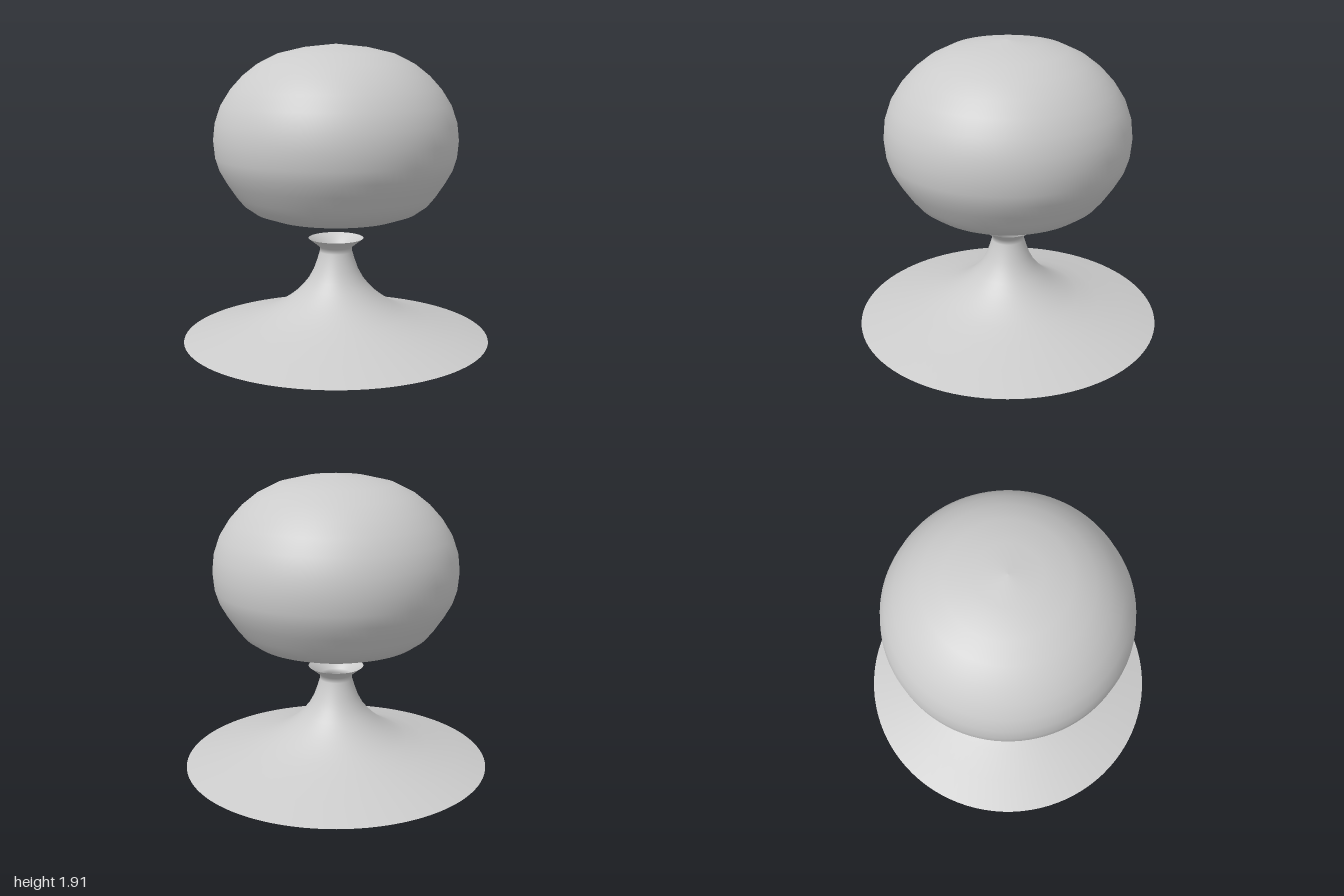
import * as THREE from 'three';

// Open shell turned around the y axis from [radius, height] points, bottom to top
function turned(name, profile) {
  const points = profile.map(([r, y]) => new THREE.Vector2(r, y));
  const material = new THREE.MeshStandardMaterial({ color: 0xcccccc, side: THREE.DoubleSide });
  const mesh = new THREE.Mesh(new THREE.LatheGeometry(points, 96), material);
  mesh.name = name;
  return mesh;
}

export function createModel() {
  const group = new THREE.Group();
  group.name = 'tableLamp';

  // Hollow trumpet-shaped foot with a small flared collar
  group.add(turned('base', [
    [1, 0], [0.8, 0.06], [0.61, 0.113], [0.475, 0.163], [0.4, 0.2],
    [0.33, 0.243], [0.27, 0.29], [0.22, 0.34], [0.18, 0.39], [0.145, 0.455],
    [0.122, 0.52], [0.107, 0.57], [0.103, 0.6], [0.18, 0.66],
  ]));

  // Rounded hollow shade floating above, with a round opening underneath
  group.add(turned('shade', [
    [0.18, 0.78], [0.29, 0.782], [0.42, 0.807], [0.53, 0.845], [0.6, 0.895],
    [0.645, 0.95], [0.705, 1.04], [0.75, 1.12], [0.775, 1.2], [0.785, 1.31],
    [0.773, 1.42], [0.735, 1.53], [0.672, 1.63], [0.595, 1.715], [0.5, 1.79],
    [0.37, 1.855], [0.2, 1.895], [0, 1.915],
  ]));

  return group;
}
